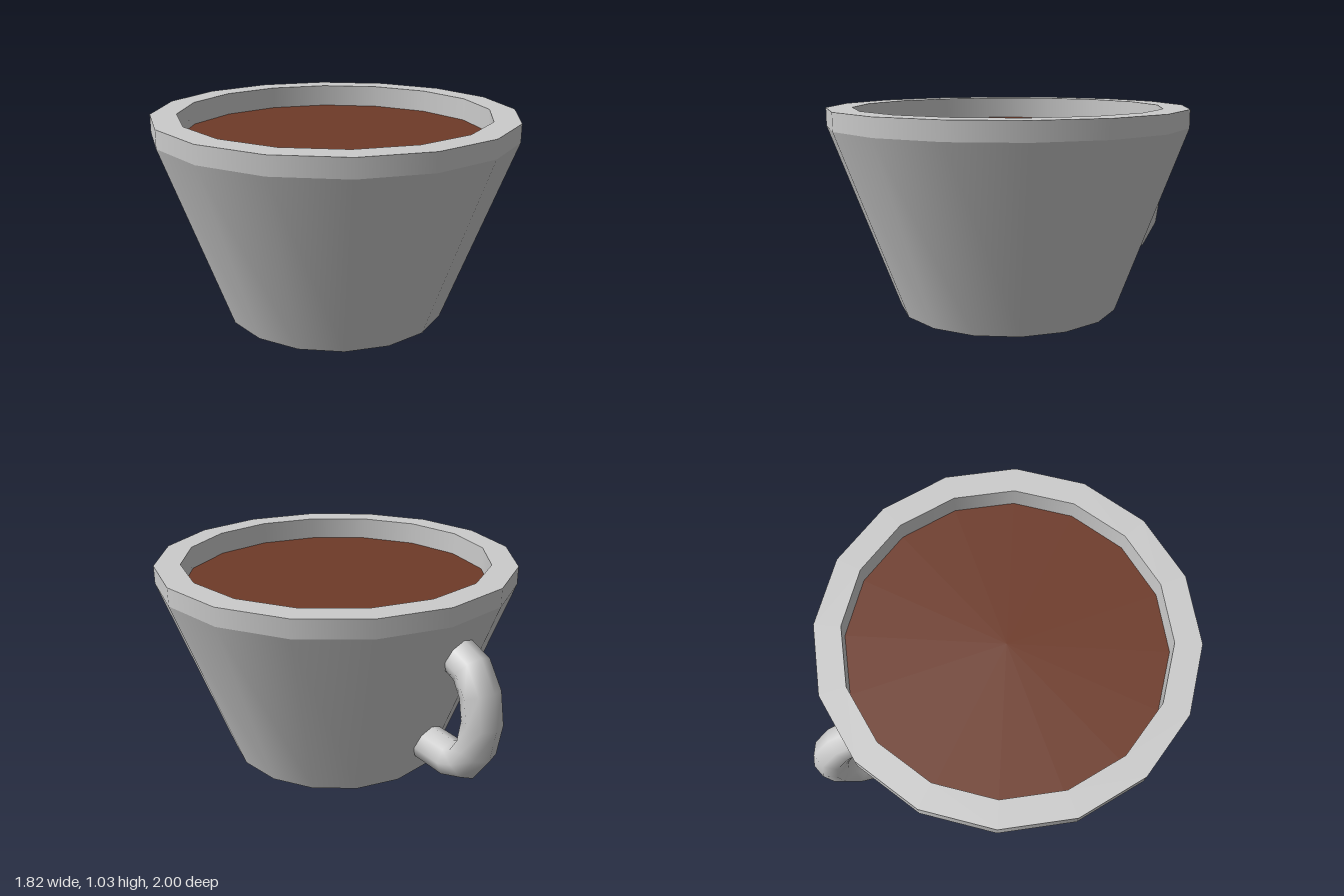
import * as THREE from 'three';
import { mergeGeometries } from 'three/addons/utils/BufferGeometryUtils.js';

const SIDES = 16;
const CUP_Z = 0.085;

// Lathe each profile segment on its own so the edges between them stay sharp
function sharpLathe(profile) {
  const bands = [];
  for (let i = 0; i < profile.length - 1; i++) {
    const pts = [profile[i], profile[i + 1]].map(([r, y]) => new THREE.Vector2(r, y));
    bands.push(new THREE.LatheGeometry(pts, SIDES));
  }
  return mergeGeometries(bands);
}

// Eight-sided tube swept through stations in the yz plane: [z, y, outward angle]
function sweepHandle(stations, radius, sides) {
  const pos = [], index = [];
  stations.forEach(([z, y, angle], i) => {
    for (let j = 0; j < sides; j++) {
      const a = (j / sides) * Math.PI * 2;
      const out = radius * Math.cos(a);
      pos.push(radius * Math.sin(a), y + out * Math.sin(angle), z - out * Math.cos(angle));
      if (i === stations.length - 1) continue;
      const p = i * sides + j, q = i * sides + (j + 1) % sides;
      index.push(p, p + sides, q, q, p + sides, q + sides);
    }
  });
  const geo = new THREE.BufferGeometry();
  geo.setAttribute('position', new THREE.Float32BufferAttribute(pos, 3));
  geo.setIndex(index);
  geo.computeVertexNormals();
  return geo;
}

export function createModel() {
  const model = new THREE.Group();
  const grey = new THREE.MeshStandardMaterial({ color: 0xcccccc });
  const brown = new THREE.MeshStandardMaterial({ color: 0x6e3a28 });

  const add = (name, geometry, material, parent = model) => {
    const mesh = new THREE.Mesh(geometry, material);
    mesh.name = name;
    parent.add(mesh);
    return mesh;
  };

  // Tapered cup with an upright rim and a short inner wall
  const cup = add('cup', sharpLathe([
    [0, 0], [0.565, 0], [0.91, 0.94], [0.91, 1.03], [0.78, 1.03], [0.78, 0.915],
  ]), grey);
  cup.position.z = CUP_Z;

  // Drink surface
  const drink = add('drink', new THREE.CircleGeometry(0.78, SIDES).rotateX(-Math.PI / 2), brown);
  drink.position.set(0, 0.915, CUP_Z);

  // Handle: straight lower stub, half-oval bend, top end buried in the wall
  const handle = new THREE.Group();
  handle.name = 'handle';
  handle.position.x = -0.14;
  model.add(handle);

  const stations = [[-0.52, 0.2, -Math.PI / 2]];
  for (let i = -3; i <= 3; i++) {
    const t = (i * Math.PI) / 6;
    const normal = Math.atan2(Math.sin(t) / 0.27, Math.cos(t) / 0.2);
    stations.push([-0.72 - 0.185 * Math.cos(t), 0.47 + 0.27 * Math.sin(t), normal]);
  }
  stations.push([-0.64, 0.74, Math.PI / 2]);
  add('handleBar', sweepHandle(stations, 0.095, 8), grey, handle);

  // Flat end of the lower stub
  const end = add('handleEnd', new THREE.CircleGeometry(0.095, 8), grey, handle);
  end.position.set(0, 0.2, -0.52);

  return model;
}
